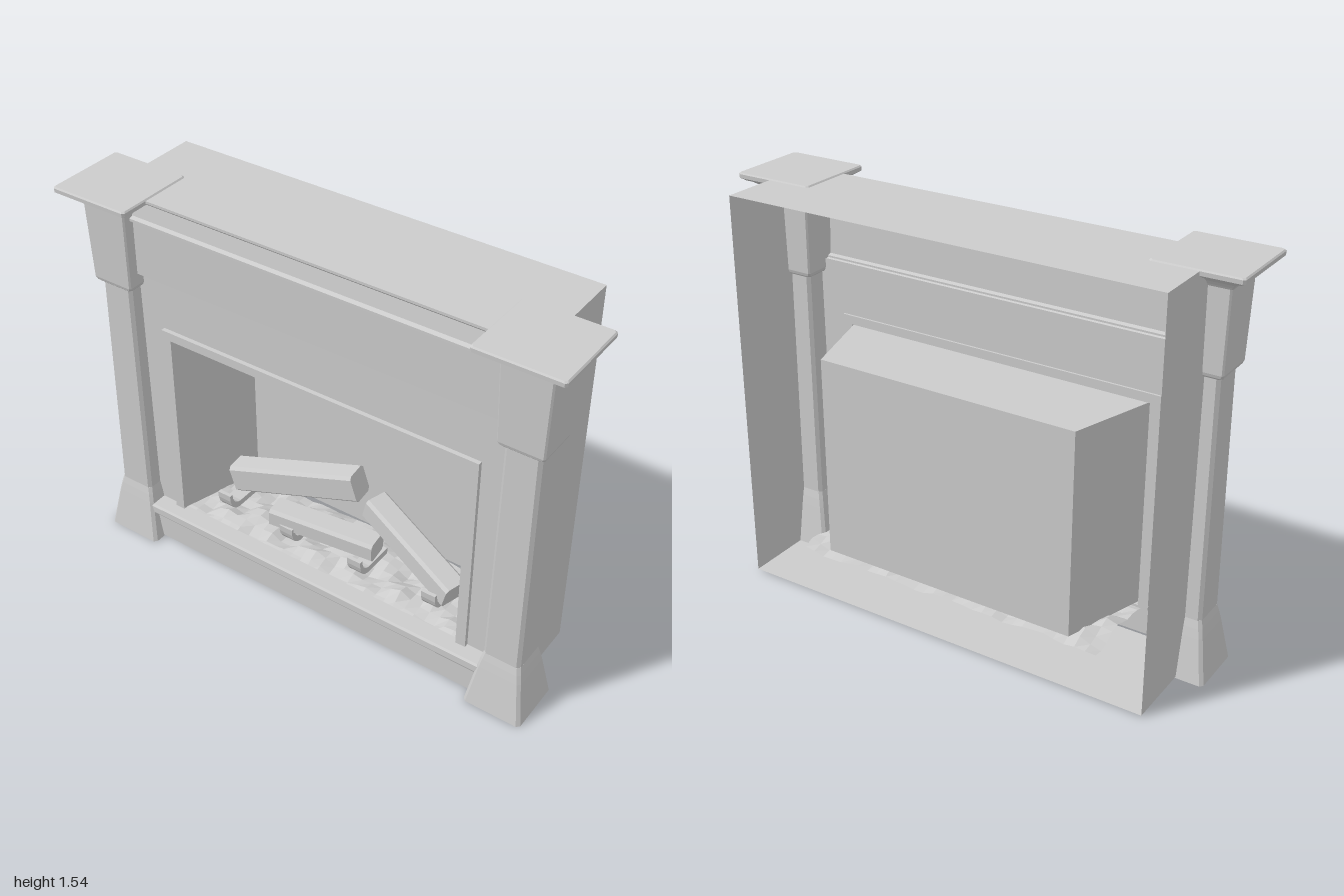
import * as THREE from 'three';

const mat = new THREE.MeshStandardMaterial({ color: 0xcccccc, flatShading: true, side: THREE.DoubleSide });

function add(parent, name, geo, x = 0, y = 0, z = 0) {
  const m = new THREE.Mesh(geo, mat);
  m.name = name;
  m.position.set(x, y, z);
  parent.add(m);
  return m;
}

function build(pos, idx) {
  const g = new THREE.BufferGeometry();
  g.setAttribute('position', new THREE.Float32BufferAttribute(pos, 3));
  g.setIndex(idx);
  const flat = g.toNonIndexed();
  flat.computeVertexNormals();
  return flat;
}

// Stacked square sections with chamfered corners; rows are [y, halfWidth, chamfer]
function loft(rows) {
  const pos = [], idx = [];
  for (const [y, h, c] of rows) {
    const k = h - c;
    for (const [x, z] of [[h, -k], [h, k], [k, h], [-k, h], [-h, k], [-h, -k], [-k, -h], [k, -h]]) pos.push(x, y, z);
  }
  for (let r = 0; r < rows.length - 1; r++) {
    for (let i = 0; i < 8; i++) {
      const a = r * 8 + i, b = r * 8 + (i + 1) % 8;
      idx.push(a, a + 8, b + 8, a, b + 8, b);
    }
  }
  const top = (rows.length - 1) * 8;
  for (let i = 1; i < 7; i++) idx.push(0, i, i + 1, top, top + i + 1, top + i);
  return build(pos, idx);
}

// Thin moulding: a [z, y] profile swept along x
function moulding(profile, halfWidth) {
  const pos = [], idx = [];
  for (const [z, y] of profile) pos.push(-halfWidth, y, z, halfWidth, y, z);
  for (let i = 0; i < profile.length - 1; i++) {
    const a = i * 2;
    idx.push(a, a + 2, a + 3, a, a + 3, a + 1);
  }
  return build(pos, idx);
}

// Rectangular plate with a rectangular opening
function framePlate(w, y0, y1, holeW, h0, h1) {
  const rect = (P, hw, a, b) => {
    const p = new P();
    p.moveTo(-hw, a); p.lineTo(hw, a); p.lineTo(hw, b); p.lineTo(-hw, b); p.closePath();
    return p;
  };
  const s = rect(THREE.Shape, w, y0, y1);
  s.holes.push(rect(THREE.Path, holeW, h0, h1));
  return s;
}

// Uneven ember bed
function emberBed() {
  const g = new THREE.PlaneGeometry(1.28, 0.35, 30, 9);
  g.rotateX(-Math.PI / 2);
  const p = g.attributes.position;
  for (let i = 0; i < p.count; i++) {
    const x = p.getX(i), z = p.getZ(i);
    const edge = Math.min(1, (0.175 - Math.abs(z)) / 0.08);
    const bump = 0.014 * Math.sin(x * 17 + z * 23) + 0.01 * Math.sin(x * 31 - z * 37 + 1) + 0.006 * Math.cos(x * 53 + z * 11);
    p.setY(i, 0.145 + 0.02 * edge + bump * (0.4 + 0.6 * edge));
  }
  return g;
}

// Log with bevelled long edges, lying along x
function logGeometry(length, height, depth) {
  const h = height / 2, d = depth / 2, b = 0.012;
  const s = new THREE.Shape([[-d + b, -h], [d - b, -h], [d, -h + b], [d, h - b], [d - b, h], [-d + b, h], [-d, h - b], [-d, -h + b]]
    .map(([x, y]) => new THREE.Vector2(x, y)));
  const g = new THREE.ExtrudeGeometry(s, { depth: length, bevelEnabled: false });
  g.translate(0, 0, -length / 2);
  g.rotateY(Math.PI / 2);
  return g;
}

export function createModel() {
  const root = new THREE.Group();
  root.name = 'fireplace';

  // Open-backed case
  const cabinet = new THREE.Group();
  cabinet.name = 'case';
  root.add(cabinet);
  add(cabinet, 'topPanel', new THREE.PlaneGeometry(1.7, 0.425).rotateX(-Math.PI / 2), 0, 1.54, -0.0575);
  add(cabinet, 'bottomPanel', new THREE.PlaneGeometry(1.7, 0.43).rotateX(Math.PI / 2), 0, 0.005, -0.055);
  for (const s of [-1, 1]) {
    add(cabinet, 'sidePanel', new THREE.PlaneGeometry(0.32, 1.535).rotateY(s * Math.PI / 2), s * 0.85, 0.7725, -0.11);
  }

  // Front: frieze, hearth and surround
  add(root, 'frieze', moulding([[0.12, 1.205], [0.135, 1.21], [0.135, 1.217], [0.15, 1.222], [0.155, 1.445],
    [0.17, 1.447], [0.17, 1.457], [0.155, 1.463], [0.145, 1.52], [0.155, 1.53], [0.155, 1.54]], 0.77));
  add(root, 'hearth', moulding([[0.17, 0.005], [0.17, 0.12], [0.185, 0.122], [0.19, 0.13], [0.19, 0.158],
    [0.183, 0.165], [0.115, 0.165]], 0.77));
  add(root, 'surround', new THREE.ShapeGeometry(framePlate(0.77, 0.16, 1.21, 0.665, 0.165, 1.0)), 0, 0, 0.12);
  add(root, 'openingTrim', new THREE.ExtrudeGeometry(framePlate(0.67, 0.15, 1.005, 0.63, 0.16, 0.97),
    { depth: 0.025, bevelEnabled: false }), 0, 0, 0.112);

  // Firebox with splayed sides, level top and no floor
  const fb = [];
  for (const y of [0.17, 0.97]) fb.push(-0.63, y, 0.135, -0.525, y, -0.21, 0.525, y, -0.21, 0.63, y, 0.135);
  const fi = [4, 7, 6, 4, 6, 5];
  for (let i = 0; i < 3; i++) fi.push(i, i + 4, i + 5, i, i + 5, i + 1);
  add(root, 'firebox', build(fb, fi));

  // Pilasters with flared base, tapered capital and stepped cap
  const base = loft([[0, 0.116, 0.012], [0.17, 0.087, 0.011], [0.205, 0.08, 0.011], [0.235, 0.073, 0.011]]);
  const shaft = loft([[0.23, 0.073, 0.012], [1.17, 0.067, 0.012]]);
  const capital = loft([[1.157, 0.076, 0.01], [1.163, 0.082, 0.008], [1.175, 0.086, 0.006], [1.48, 0.094, 0.006]]);
  const cap = loft([[1.475, 0.098, 0.004], [1.483, 0.103, 0.004], [1.495, 0.112, 0.004], [1.507, 0.128, 0.004],
    [1.513, 0.143, 0.004], [1.52, 0.153, 0.006], [1.525, 0.162, 0.008], [1.54, 0.163, 0.008], [1.545, 0.158, 0.008]]);
  for (const s of [-1, 1]) {
    const pilaster = new THREE.Group();
    pilaster.name = s > 0 ? 'leftPilaster' : 'rightPilaster';
    pilaster.position.set(s * 0.837, 0, 0.107);
    add(pilaster, 'base', base);
    add(pilaster, 'shaft', shaft);
    add(pilaster, 'capital', capital);
    add(pilaster, 'cap', cap);
    root.add(pilaster);
  }

  // Ember bed, logs and grate
  add(root, 'emberBed', emberBed(), 0, 0, -0.045);
  const logs = [
    [0.57, 0.115, 0.1, -0.24, 0.35, -0.1, 0.1, 0.3],
    [0.47, 0.1, 0.1, 0.325, 0.32, -0.05, -0.28, -0.27],
    [0.44, 0.08, 0.1, -0.03, 0.275, 0.01, 0.12, 0],
  ];
  for (const [l, h, d, x, y, z, yaw, tilt] of logs) {
    const m = add(root, 'log', logGeometry(l, h, d), x, y, z);
    m.rotation.set(0, yaw, tilt, 'YZX');
  }
  // Grate bars: flat strips curling up at the front
  const curl = new THREE.Shape();
  curl.moveTo(-0.1, 0.18);
  curl.lineTo(0.03, 0.18);
  curl.quadraticCurveTo(0.085, 0.19, 0.085, 0.265);
  curl.lineTo(0.07, 0.265);
  curl.quadraticCurveTo(0.068, 0.21, 0.02, 0.205);
  curl.lineTo(-0.1, 0.205);
  const barGeo = new THREE.ExtrudeGeometry(curl, { depth: 0.06, bevelEnabled: false, curveSegments: 5 });
  barGeo.translate(0, 0, -0.03);
  barGeo.rotateY(-Math.PI / 2);
  for (const [x, z] of [[-0.48, -0.02], [-0.165, 0], [0.15, 0], [0.47, -0.01]]) add(root, 'grateBar', barGeo, x, 0, z);

  return root;
}
